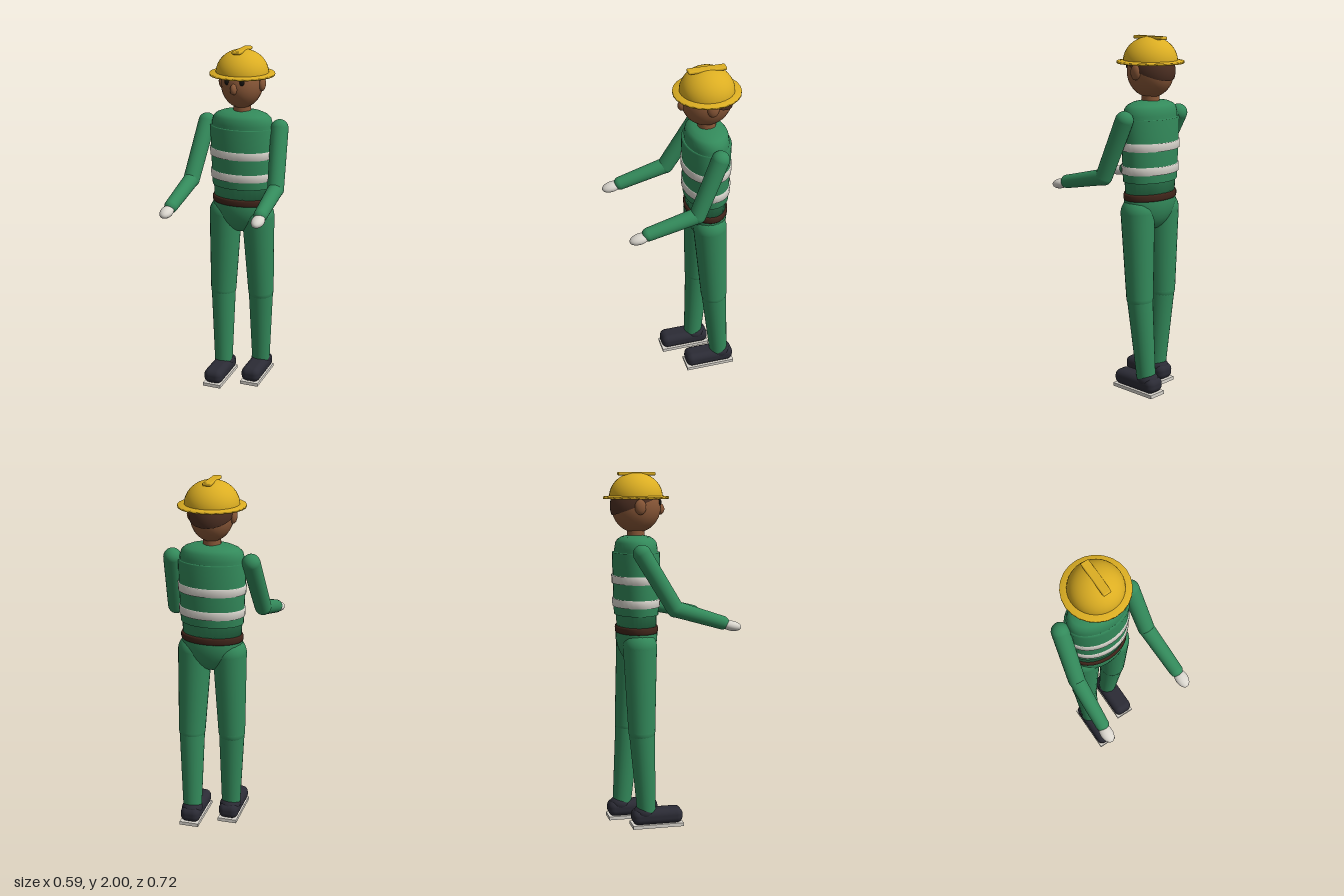
import * as THREE from 'three';
import { RoundedBoxGeometry } from 'three/addons/geometries/RoundedBoxGeometry.js';

const BODY_Z = -0.178;

export function createModel() {
  const model = new THREE.Group();
  model.name = 'worker';
  const mat = (name, color, side = THREE.FrontSide) => {
    const m = new THREE.MeshStandardMaterial({ color, side });
    m.name = name;
    return m;
  };
  const green = mat('workwear green', 0x338a5b);
  const yellow = mat('helmet yellow', 0xdcae22, THREE.DoubleSide);
  const skin = mat('skin', 0x8a5838);
  const hairBrown = mat('hair brown', 0x4c2f22, THREE.DoubleSide);
  const beltBrown = mat('belt brown', 0x40241a);
  const white = mat('reflective white', 0xdad6ce);
  const dark = mat('shoe dark', 0x2b2b35);
  const black = mat('eye black', 0x15120f);

  const add = (name, geo, material, x = 0, y = 0, z = 0, parent = model) => {
    const mesh = new THREE.Mesh(geo, material);
    mesh.name = name;
    mesh.position.set(x, y, z);
    parent.add(mesh);
    return mesh;
  };
  const ball = (name, material, x, y, z, rx, ry, rz, parent = model) => {
    const mesh = add(name, new THREE.SphereGeometry(1, 24, 16), material, x, y, z, parent);
    mesh.scale.set(rx, ry, rz);
    return mesh;
  };
  // Lathe with an elliptical section; profile is [radiusX, y] from bottom to top
  const oval = (name, material, profile, depth = 1) => {
    const pts = profile.map(([r, y]) => new THREE.Vector2(r, y));
    const mesh = add(name, new THREE.LatheGeometry(pts, 32), material, 0, 0, BODY_Z);
    mesh.scale.z = depth;
    return mesh;
  };
  // Tapered limb segment between two points with rounded ends
  const segment = (name, material, a, b, ra, rb, parent) => {
    const g = new THREE.Group();
    g.name = name;
    const from = new THREE.Vector3(...a), to = new THREE.Vector3(...b);
    const dir = to.clone().sub(from);
    const tube = add(name + 'Tube', new THREE.CylinderGeometry(rb, ra, dir.length(), 24, 1, true), material, 0, 0, 0, g);
    tube.position.copy(from).addScaledVector(dir, 0.5);
    tube.quaternion.setFromUnitVectors(new THREE.Vector3(0, 1, 0), dir.normalize());
    ball(name + 'Start', material, ...a, ra, ra, ra, g);
    ball(name + 'End', material, ...b, rb, rb, rb, g);
    parent.add(g);
  };

  // Torso, jacket shell, reflective bands and belt
  oval('torso', green, [[0, 1.13], [0.165, 1.13], [0.172, 1.3], [0.179, 1.5], [0.179, 1.58],
    [0.17, 1.615], [0.15, 1.633], [0.115, 1.647], [0.06, 1.655], [0, 1.656]], 0.66);
  oval('jacket', green, [[0.16, 1.215], [0.176, 1.215], [0.183, 1.38], [0.189, 1.56], [0.17, 1.562]], 0.7);
  for (const [y, r] of [[1.282, 0.184], [1.412, 0.189]]) {
    oval('reflectiveBand', white, [[r - 0.015, y - 0.022], [r, y - 0.022], [r + 0.002, y + 0.022], [r - 0.013, y + 0.022]], 0.715);
  }
  oval('belt', beltBrown, [[0.15, 1.113], [0.171, 1.113], [0.176, 1.122], [0.176, 1.142], [0.171, 1.151], [0.15, 1.151]], 0.675);
  ball('pelvis', green, 0, 1.1, BODY_Z, 0.172, 0.17, 0.116);

  // Legs and shoes: side, knee z, ankle z, shoe centre z
  for (const [s, kneeZ, ankleZ, shoeZ] of [[1, -0.207, -0.247, -0.186], [-1, -0.172, -0.145, -0.084]]) {
    const leg = new THREE.Group();
    leg.name = s > 0 ? 'leftLeg' : 'rightLeg';
    model.add(leg);
    const knee = [s * 0.112, 0.56, kneeZ];
    segment('thigh', green, [s * 0.1, 1.04, BODY_Z], knee, 0.095, 0.076, leg);
    segment('shin', green, knee, [s * 0.102, 0.1, ankleZ], 0.073, 0.054, leg);
    ball('shoeCollar', dark, s * 0.1, 0.085, ankleZ - 0.012, 0.06, 0.045, 0.062, leg);
    add('shoe', new RoundedBoxGeometry(0.114, 0.088, 0.292, 4, 0.036), dark, s * 0.1, 0.06, shoeZ, leg);
    add('sole', new THREE.BoxGeometry(0.11, 0.02, 0.294), white, s * 0.1, 0.01, shoeZ, leg);
  }

  // Arms reaching forward with gloves: side, elbow, wrist
  for (const [s, elbowY, elbowZ, wristZ] of [[1, 1.245, -0.06, 0.218], [-1, 1.265, -0.012, 0.252]]) {
    const arm = new THREE.Group();
    arm.name = s > 0 ? 'leftArm' : 'rightArm';
    model.add(arm);
    const elbow = [s * 0.245, elbowY, elbowZ];
    segment('upperArm', green, [s * 0.22, 1.565, -0.19], elbow, 0.05, 0.047, arm);
    segment('forearm', green, elbow, [s * 0.256, 1.183, wristZ], 0.045, 0.038, arm);
    const glove = ball('glove', white, s * 0.26, 1.165, wristZ + 0.05, 0.036, 0.028, 0.058, arm);
    glove.rotation.x = 0.2;
  }

  // Head, face and hair
  add('neck', new THREE.CylinderGeometry(0.048, 0.05, 0.12, 24), skin, 0, 1.68, BODY_Z);
  ball('head', skin, 0, 1.81, -0.176, 0.117, 0.142, 0.138);
  ball('nose', skin, 0, 1.797, -0.04, 0.019, 0.031, 0.025);
  for (const s of [-1, 1]) {
    ball('ear', skin, s * 0.118, 1.812, -0.176, 0.02, 0.042, 0.032);
    ball('eye', black, s * 0.044, 1.835, -0.052, 0.014, 0.018, 0.011);
  }
  const hair = add('hair', new THREE.SphereGeometry(1, 32, 12, 0, Math.PI * 2, 0, Math.PI / 2), hairBrown, 0, 1.82, -0.18);
  hair.scale.set(0.122, 0.135, 0.143);
  hair.rotation.x = -0.38;

  // Safety helmet: dome, brim and crown ridge
  const dome = add('helmetDome', new THREE.SphereGeometry(1, 32, 12, 0, Math.PI * 2, 0, Math.PI / 2), yellow, 0, 1.865, -0.176);
  dome.scale.set(0.149, 0.133, 0.149);
  const brim = [[0.14, 1.858], [0.184, 1.855], [0.184, 1.867], [0.14, 1.872]].map(([r, y]) => new THREE.Vector2(r, y));
  add('helmetBrim', new THREE.LatheGeometry(brim, 24), yellow, 0, 0, -0.176);
  add('helmetRidge', new RoundedBoxGeometry(0.048, 0.018, 0.21, 3, 0.007), yellow, 0, 1.991, -0.173);

  return model;
}
